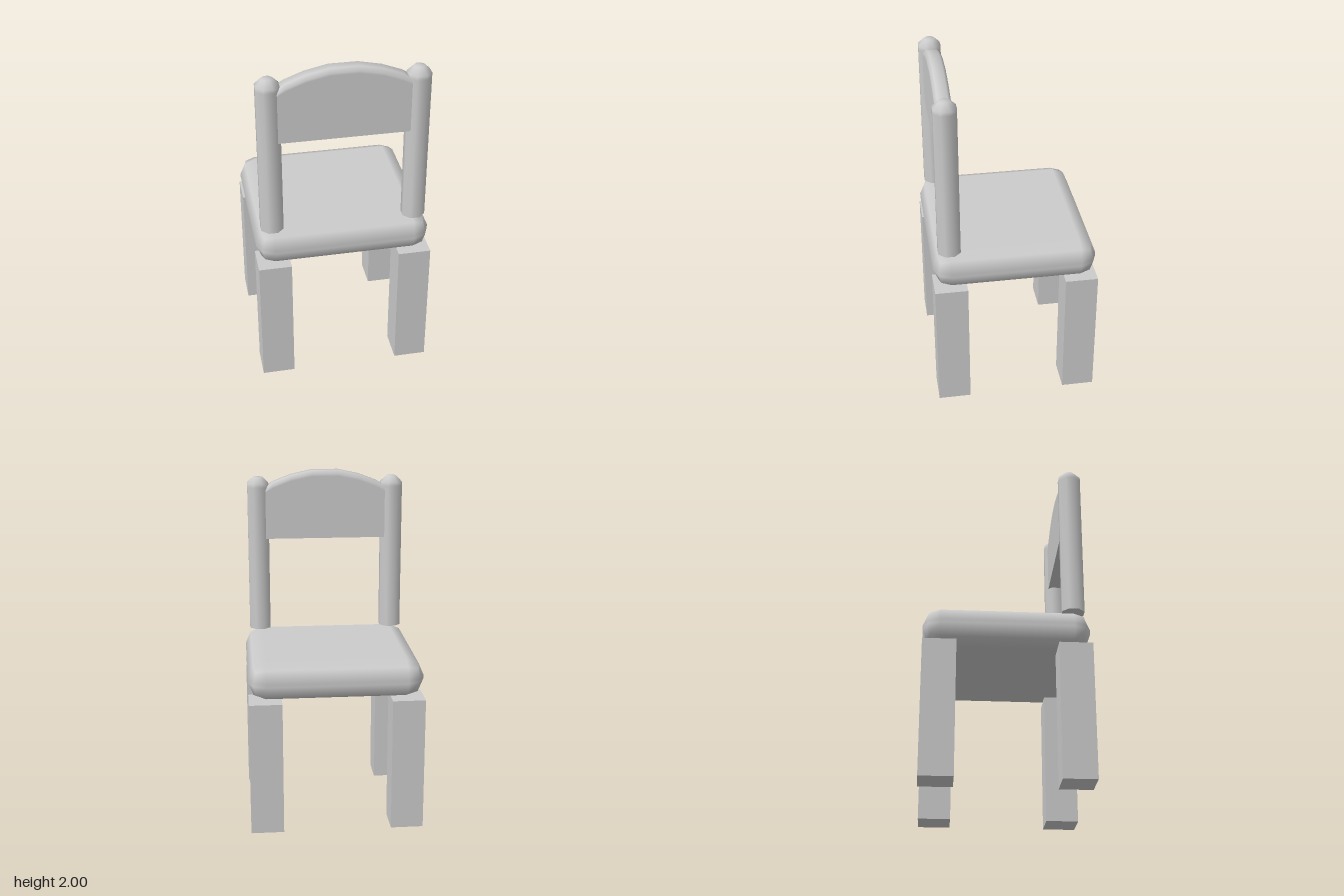
import * as THREE from 'three';
import { toCreasedNormals } from 'three/addons/utils/BufferGeometryUtils.js';
import { RoundedBoxGeometry } from 'three/addons/geometries/RoundedBoxGeometry.js';

const CREASE = Math.PI / 3;

// Octagonal post with a chamfered top, smooth around its sides
function postGeometry() {
  const k = 1 / Math.cos(Math.PI / 8);
  const profile = [[0, 1.015], [0.064, 1.015], [0.064, 1.9], [0.064, 1.923], [0.03, 1.96], [0, 1.96]]
    .map(([r, y]) => new THREE.Vector2(r * k, y));
  const geometry = new THREE.LatheGeometry(profile, 8, Math.PI / 8);
  return toCreasedNormals(geometry, CREASE);
}

// Arched panel: one cross-section per point of the arch, softened along the top
function panelGeometry() {
  const half = [[0.08, 2.0], [0.21, 1.972], [0.32, 1.93], [0.37, 1.9]];
  const arch = [...half.map(([x, y]) => [-x, y]).reverse(), ...half];
  const positions = [];
  const index = [];
  const n = 8;
  for (const [x, top] of arch) {
    const section = [
      [0.333, 1.585], [0.333, top - 0.035], [0.333, top - 0.022], [0.35, top],
      [0.407, top], [0.424, top - 0.022], [0.424, top - 0.035], [0.424, 1.585],
    ];
    for (const [z, y] of section) positions.push(x, y, z);
  }
  for (let i = 0; i < arch.length - 1; i++) {
    for (let j = 0; j < n; j++) {
      const a = i * n + j, b = i * n + (j + 1) % n;
      index.push(a, b, a + n, b, b + n, a + n);
    }
  }
  // end caps
  const last = (arch.length - 1) * n;
  for (let j = 1; j < n - 1; j++) {
    index.push(0, j + 1, j, last, last + j, last + j + 1);
  }
  const geometry = new THREE.BufferGeometry();
  geometry.setAttribute('position', new THREE.Float32BufferAttribute(positions, 3));
  geometry.setIndex(index);
  return toCreasedNormals(geometry, CREASE);
}

export function createModel() {
  const chair = new THREE.Group();
  chair.name = 'chair';
  const grey = new THREE.MeshStandardMaterial({ color: 0xcccccc });
  grey.name = 'light grey';

  const add = (name, geometry, x = 0, y = 0, z = 0) => {
    const mesh = new THREE.Mesh(geometry, grey);
    mesh.name = name;
    mesh.position.set(x, y, z);
    chair.add(mesh);
  };

  // Cushion-like seat
  add('seat', new RoundedBoxGeometry(1.01, 0.22, 0.95, 1, 0.1), 0, 0.901, 0);

  // Square legs and the two backrest posts
  const leg = new THREE.BoxGeometry(0.19, 0.79, 0.19);
  const post = postGeometry();
  for (const [side, s] of [['left', 1], ['right', -1]]) {
    add(side + 'FrontLeg', leg, s * 0.41, 0.395, -0.38);
    add(side + 'BackLeg', leg, s * 0.41, 0.395, 0.38);
    add(side + 'BackPost', post, s * 0.411, 0, 0.379);
  }

  // Panel between the posts
  add('backrest', panelGeometry());

  return chair;
}
